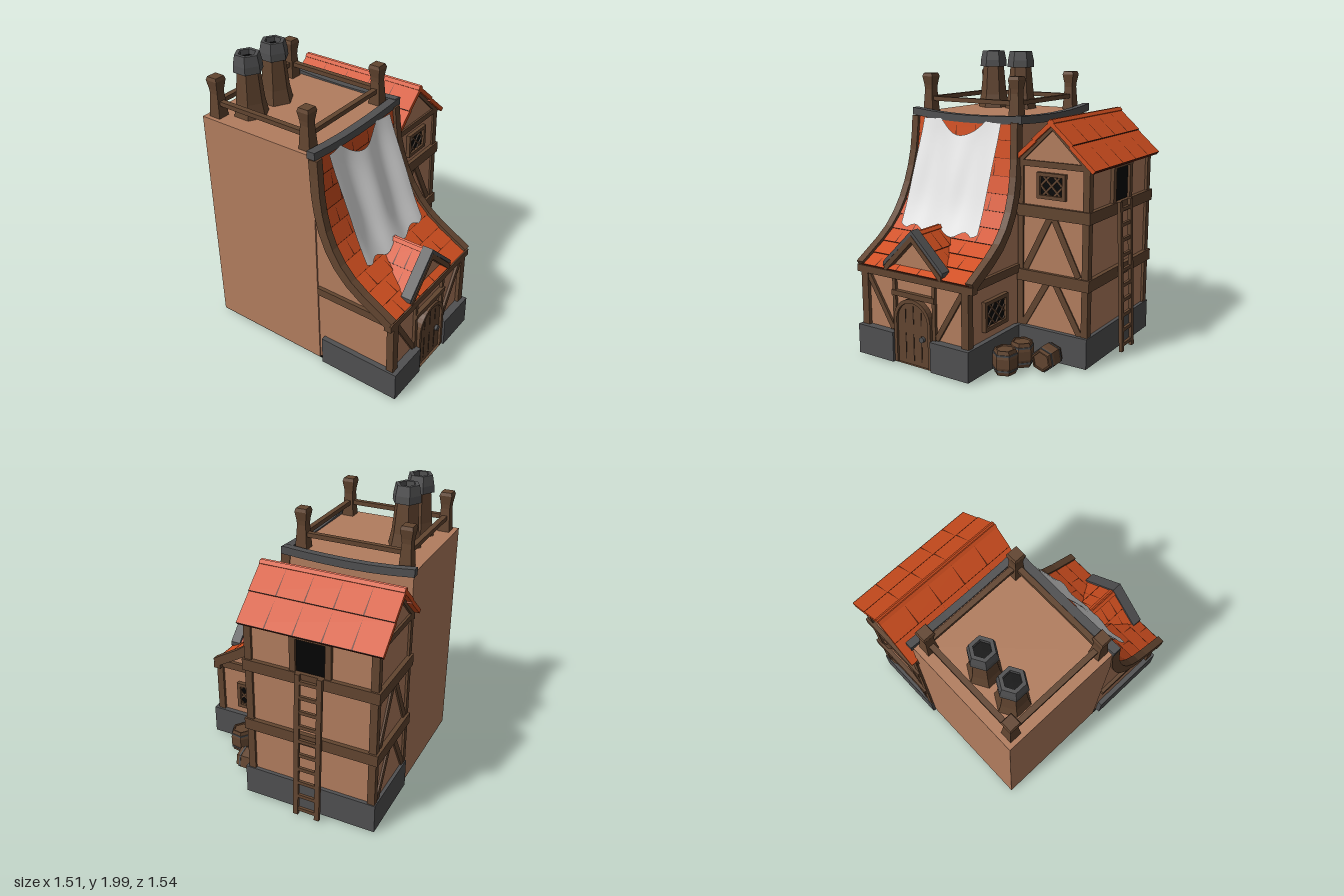
import * as THREE from 'three';

const mat = (name, color, side = THREE.FrontSide) => {
  const m = new THREE.MeshStandardMaterial({ color, side });
  m.name = name;
  return m;
};
const V = (x, y, z) => new THREE.Vector3(x, y, z);

export function createModel() {
  const plaster = mat('plaster', 0xb27d5e), wood = mat('timber', 0x624530), tile = mat('roofTile', 0xd04e1f);
  const seam = mat('tileSeam', 0x5e220c, THREE.DoubleSide), stone = mat('stone', 0x505051), black = mat('opening', 0x040404);
  const cloth = mat('cloth', 0xe2e2e2, THREE.DoubleSide), dark = mat('darkWood', 0x38281d);
  const root = new THREE.Group();
  root.name = 'house';
  const CX = -0.28;

  const add = (name, geo, m, parent = root) => {
    const mesh = new THREE.Mesh(geo, m);
    mesh.name = name;
    parent.add(mesh);
    return mesh;
  };
  const group = (name, parent = root) => {
    const g = new THREE.Group();
    g.name = name;
    parent.add(g);
    return g;
  };
  const flat = (g) => {
    const n = g.index ? g.toNonIndexed() : g;
    n.computeVertexNormals();
    return n;
  };
  const box = (name, m, x0, x1, y0, y1, z0, z1, parent) => {
    const mesh = add(name, new THREE.BoxGeometry(x1 - x0, y1 - y0, z1 - z0), m, parent);
    mesh.position.set((x0 + x1) / 2, (y0 + y1) / 2, (z0 + z1) / 2);
    return mesh;
  };
  // straight timber in an upright xy plane
  const beam = (name, m, ax, ay, bx, by, w, z0, z1, parent) => {
    const mesh = add(name, new THREE.BoxGeometry(w, Math.hypot(bx - ax, by - ay), z1 - z0), m, parent);
    mesh.position.set((ax + bx) / 2, (ay + by) / 2, (z0 + z1) / 2);
    mesh.rotation.z = -Math.atan2(bx - ax, by - ay);
    return mesh;
  };
  const prism = (name, m, pts, z0, z1, parent) => {
    const g = new THREE.ExtrudeGeometry(new THREE.Shape(pts.map((p) => new THREE.Vector2(...p))), { depth: z1 - z0, bevelEnabled: false });
    return add(name, g.translate(0, 0, z0), m, parent);
  };
  const chevron = (name, m, cx, top, half, bottom, t, z0, z1, parent) =>
    prism(name, m, [[cx - half, bottom], [cx - half, bottom - t], [cx, top - t], [cx + half, bottom - t], [cx + half, bottom], [cx, top]], z0, z1, parent);
  // solid through a row of four-cornered sections
  const loft = (name, m, secs) => {
    const pos = [], n = 4;
    const quad = (a, b, c, d) => [a, b, c, a, c, d].forEach((p) => pos.push(p.x, p.y, p.z));
    for (let i = 0; i + 1 < secs.length; i++)
      for (let j = 0; j < n; j++) quad(secs[i][j], secs[i][(j + 1) % n], secs[i + 1][(j + 1) % n], secs[i + 1][j]);
    const e = secs[secs.length - 1];
    quad(secs[0][3], secs[0][2], secs[0][1], secs[0][0]);
    quad(e[0], e[1], e[2], e[3]);
    let vol = 0;
    for (let i = 0; i < pos.length; i += 9)
      vol += V(...pos.slice(i, i + 3)).dot(V(...pos.slice(i + 3, i + 6)).cross(V(...pos.slice(i + 6, i + 9))));
    if (vol < 0)
      for (let i = 0; i < pos.length; i += 9)
        for (let k = 0; k < 3; k++) [pos[i + 3 + k], pos[i + 6 + k]] = [pos[i + 6 + k], pos[i + 3 + k]];
    const g = new THREE.BufferGeometry();
    g.setAttribute('position', new THREE.Float32BufferAttribute(pos, 3));
    g.computeVertexNormals();
    return add(name, g, m);
  };
  // overlapping tile rows on a slope: o is the middle of the lower edge, stagger shifts the gaps of that row
  const tiles = (name, o, xDir, up, width, len, rows, cols, stagger = 0) => {
    const g = group(name), u = up.clone().normalize(), h = len / rows;
    g.applyMatrix4(new THREE.Matrix4().makeBasis(xDir, u, xDir.clone().cross(u)).setPosition(o));
    for (let r = 0; r < rows; r++) {
      const row = group('tileRow', g);
      row.position.y = (r + 0.5) * h;
      row.rotation.x = -0.04;
      box('tiles', tile, -width / 2, width / 2, -h / 2, h / 2 + 0.008, -0.028, 0, row);
      box('rowEdge', seam, -width / 2, width / 2, -h / 2 - 0.002, -h / 2 + 0.001, -0.02, 0.001, row);
      for (let c = 1; c < cols; c++) {
        const x = -width / 2 + (c + stagger) * width / cols;
        const s = new THREE.Shape([new THREE.Vector2(x - 0.005, -h / 2), new THREE.Vector2(x + 0.005, -h / 2), new THREE.Vector2(x, h * 0.42)]);
        add('tileGap', new THREE.ShapeGeometry(s).translate(0, 0, 0.002), seam, row);
      }
    }
  };
  // framed lattice window facing +z, centred on its own origin
  const latticeWindow = (w, h, f) => {
    const g = group('latticeWindow'), a = w / 2 - f, b = h / 2 - f;
    box('pane', black, -a, a, -b, b, 0, 0.006, g);
    for (const s of [-1, 1]) {
      box('frameSide', wood, s * (w / 2 - f / 2) - f / 2, s * (w / 2 - f / 2) + f / 2, -h / 2, h / 2, -0.01, 0.025, g);
      box('frameRail', wood, -a, a, s * (h / 2 - f / 2) - f / 2, s * (h / 2 - f / 2) + f / 2, -0.01, 0.025, g);
      for (let k = -0.16; k < 0.17; k += 0.08) {
        const x0 = Math.max(-a, -b - k), x1 = Math.min(a, b - k);
        if (x1 - x0 > 0.01) beam('lattice', wood, s * x0, x0 + k, s * x1, x1 + k, 0.011, 0.004, 0.013, g);
      }
    }
    return g;
  };

  // main block and curved front wing under the roof
  box('mainBlock', plaster, -0.71, 0.15, 0.018, 1.59, -0.72, 0.15);
  box('blockUnderside', black, -0.709, 0.149, 0.014, 0.019, -0.719, 0.19);
  box('frontUnderside', black, -0.7, 0.14, 0.018, 0.025, 0.19, 0.715);
  const roofLine = new THREE.CatmullRomCurve3([[1.57, 0.165], [1.3, 0.19], [1.1, 0.245], [0.94, 0.33], [0.81, 0.45], [0.635, 0.735]].map(([y, z]) => V(0, y, z)));
  const line = roofLine.getSpacedPoints(10);
  const half = (y) => 0.475 - 0.04 * THREE.MathUtils.smoothstep(y, 0.8, 1.6);
  const walls = prism('frontWalls', plaster, [[0.1, 0.022], [0.715, 0.022], [0.715, 0.61], ...line.slice().reverse().slice(1).map((p) => [p.z - 0.02, p.y - 0.025]), [0.1, 1.54]], -0.14, 0.7);
  walls.rotation.y = -Math.PI / 2;
  for (let i = 0; i < 10; i++) {
    const a = line[i], b = line[i + 1], up = a.clone().sub(b);
    tiles('mainRoof', V(CX, b.y, b.z), V(1, 0, 0), up, 2 * half((a.y + b.y) / 2) - 0.07, up.length(), 1, 5, i % 2 ? -0.3 : 0.1);
  }
  for (const s of [-1, 1]) {
    loft('bargeBoard', wood, line.map((p, i) => {
      const t = roofLine.getTangentAt(i / 10), o = half(p.y);
      const at = (d, n) => V(CX + s * (o - d), p.y + t.z * n, p.z - t.y * n);
      return [at(0, 0.02), at(0.052, 0.02), at(0.052, -0.045), at(0, -0.045)];
    }));
  }

  // stone footings and front timbering
  for (const s of [-1, 1]) {
    const mx = (a, b) => [CX + s * a, CX + s * b].sort((p, q) => p - q);
    box('footing', stone, ...mx(0.155, 0.455), 0.016, 0.22, 0.19, 0.77);
    box('cornerPost', wood, ...mx(0.385, 0.44), 0.22, 0.6, 0.69, 0.74);
    box('doorPost', wood, ...mx(0.15, 0.175), 0.22, 0.59, 0.71, 0.735);
    box('sideBeam', wood, ...mx(0.41, 0.445), 0.58, 0.635, 0.16, 0.73);
    beam('frontBrace', wood, CX + s * 0.385, 0.57, CX + s * 0.18, 0.23, 0.035, 0.71, 0.732);
  }
  box('eaveBeam', wood, -0.755, 0.195, 0.58, 0.628, 0.69, 0.742);
  box('lintel', wood, -0.455, -0.105, 0.47, 0.505, 0.71, 0.745);

  // arched door
  const arch = (w, top) => {
    const s = new THREE.Shape();
    s.moveTo(CX - w, 0.02).lineTo(CX + w, 0.02).lineTo(CX + w, top - w);
    s.absarc(CX, top - w, w, 0, Math.PI).lineTo(CX - w, 0.02);
    return s;
  };
  const frame = arch(0.15, 0.47);
  frame.holes.push(arch(0.128, 0.445));
  add('doorFrame', new THREE.ExtrudeGeometry(frame, { depth: 0.05, bevelEnabled: false, curveSegments: 8 }).translate(0, 0, 0.707), wood);
  add('door', new THREE.ExtrudeGeometry(arch(0.128, 0.445), { depth: 0.03, bevelEnabled: false, curveSegments: 8 }).translate(0, 0, 0.71), wood);
  [-0.345, -0.28, -0.215].forEach((x, i) => {
    box('plankGap', dark, x - 0.003, x + 0.003, 0.3, 0.42 - (i % 2 ? 0 : 0.03), 0.738, 0.743);
    box('plankGap', dark, x - 0.003, x + 0.003, 0.05, 0.23, 0.738, 0.743);
  });
  const knob = add('doorKnob', new THREE.CylinderGeometry(0.02, 0.02, 0.02, 6), stone);
  knob.rotation.x = Math.PI / 2;
  knob.position.set(-0.2, 0.215, 0.752);
  const sideWindow = latticeWindow(0.26, 0.2, 0.026);
  sideWindow.rotation.y = Math.PI / 2;
  sideWindow.position.set(0.145, 0.38, 0.44);

  // dormer over the door
  prism('dormerGable', plaster, [[-0.5, 0.64], [-0.07, 0.64], [-0.285, 0.875]], 0.45, 0.69);
  chevron('dormerTrim', stone, -0.285, 0.92, 0.245, 0.68, 0.03, 0.665, 0.737);
  chevron('dormerRafter', wood, -0.285, 0.89, 0.235, 0.655, 0.045, 0.67, 0.74);
  for (const s of [-1, 1]) {
    const up = V(-s * 0.23, 0.235, 0);
    tiles('dormerRoof', V(-0.285 + s * 0.23, 0.667, 0.545), V(0, 0, -s), up, 0.25, up.length(), 2, 3, 0.2);
  }

  // cloth hanging over the roof
  const drape = new THREE.CatmullRomCurve3([[1.565, 0.178], [1.47, 0.205], [1.2, 0.305], [1.0, 0.385], [0.83, 0.472]].map(([y, z]) => V(0, y, z)));
  const sheet = new THREE.PlaneGeometry(1, 1, 24, 12), sp = sheet.attributes.position;
  for (let i = 0; i < sp.count; i++) {
    const u = sp.getX(i), v = 0.5 - sp.getY(i), x = -0.285 + u * 0.635;
    const t0 = 0.13 * Math.max(0, 1 - ((u * 0.635) / 0.18) ** 2), t1 = 0.965 - 0.03 * Math.cos(u * 19) - 0.06 * Math.max(0, Math.abs(u) - 0.42) / 0.08;
    const p = drape.getPointAt(THREE.MathUtils.lerp(t0, t1, v));
    sp.setXYZ(i, x, p.y, p.z + 0.004 + 0.018 * Math.sin(Math.PI * (0.15 + 0.7 * v)) * Math.cos(u * 12.6));
  }
  sheet.computeVertexNormals();
  add('hangingCloth', sheet, cloth);

  // sagging parapet trim along front and side of the flat top
  const sag = (t) => 1.548 + 0.028 * (2 * t - 1) ** 2 * (t < 0.5 ? 1 : 0.6);
  const steps = [0, 0.17, 0.33, 0.5, 0.67, 0.83, 1];
  loft('frontParapet', stone, steps.map((t) => {
    const x = -0.72 + 0.9 * t, y = sag(t);
    return [V(x, y, 0.115), V(x, y, 0.172), V(x, y + 0.05, 0.172), V(x, y + 0.05, 0.115)];
  }));
  loft('sideParapet', stone, steps.map((t) => {
    const z = -0.735 + 0.9 * t, y = sag(t);
    return [V(0.13, y, z), V(0.18, y, z), V(0.18, y + 0.052, z), V(0.13, y + 0.052, z)];
  }));

  // roof terrace railing
  const lathe = (pts, n) => flat(new THREE.LatheGeometry(pts.map((p) => new THREE.Vector2(...p)), n));
  for (const x of [-0.64, 0.073]) {
    for (const z of [-0.645, 0.065]) {
      const post = add('railingPost', lathe([[0.058, 0], [0.043, 0.16], [0.046, 0.19], [0.06, 0.25], [0.05, 0.272], [0, 0.272]], 4), wood);
      post.rotation.y = Math.PI / 4;
      post.position.set(x, 1.588, z);
    }
    box('sideRail', wood, x - 0.018, x + 0.018, 1.67, 1.7, -0.645, 0.065);
  }
  for (const z of [-0.645, 0.065]) box('crossRail', wood, -0.64, 0.073, 1.67, 1.7, z - 0.018, z + 0.018);

  // chimneys
  for (const x of [-0.5, -0.26]) {
    const g = group('chimney');
    g.position.set(x, 1.585, -0.5);
    add('chimneyStack', lathe([[0.115, 0], [0.095, 0.1], [0.075, 0.31]], 6), wood, g);
    add('chimneyCap', lathe([[0.06, 0.3], [0.097, 0.302], [0.094, 0.35], [0.08, 0.415], [0.055, 0.415], [0.055, 0.36]], 6), stone, g);
    add('chimneyHole', new THREE.CylinderGeometry(0.057, 0.057, 0.01, 6), black, g).position.y = 0.375;
  }

  // side wing
  const W = 0.405;
  prism('wingWalls', plaster, [[0.15, 0.1], [0.66, 0.1], [0.66, 1.32], [W, 1.565], [0.15, 1.32]], -0.72, 0.157);
  box('wingFooting', stone, 0.15, 0.685, 0.016, 0.22, -0.742, 0.19);
  for (const y of [0.53, 0.97]) box('wingBeltBeam', wood, 0.152, 0.69, y, y + 0.078, -0.75, 0.182);
  for (const [z0, z1] of [[0.12, 0.17], [-0.735, -0.685]]) {
    box('wingCornerPost', wood, 0.632, 0.678, 0.22, 1.33, z0, z1);
    box('wingInnerPost', wood, 0.15, 0.192, 0.22, 1.33, z0, z1);
    box('gableBeam', wood, 0.152, 0.67, 1.3, 1.34, z0, z1);
    chevron('gableRafter', wood, W, 1.585, 0.275, 1.325, 0.045, z0, z1);
    for (const s of [-1, 1]) {
      beam('lowerBrace', wood, W + s * 0.03, 0.54, W + s * 0.215, 0.22, 0.042, z0 + 0.003, z1 - 0.003);
      beam('upperBrace', wood, W + s * 0.012, 0.98, W + s * 0.2, 0.61, 0.042, z0 + 0.003, z1 - 0.003);
    }
  }
  for (const [s, run] of [[-1, 0.272], [1, 0.315]]) {
    const up = V(-s * run, run * 0.946, 0);
    tiles('wingRoof', V(W + s * run, 1.61 - run * 0.946, -0.29), V(0, 0, -s), up, 0.96, up.length(), 2, 5);
  }
  latticeWindow(0.21, 0.17, 0.024).position.set(W, 1.185, 0.158);
  box('loftOpening', black, 0.655, 0.667, 1.05, 1.28, -0.395, -0.185);
  for (const z of [-0.17, -0.41]) box('loftFrame', wood, 0.65, 0.685, 1.05, 1.29, z - 0.02, z + 0.02);
  box('loftLintel', wood, 0.65, 0.688, 1.275, 1.3, -0.43, -0.15);

  // ladder
  const ladder = group('ladder');
  for (const z of [-0.215, -0.367]) beam('ladderRail', wood, 0.743, 0.016, 0.7, 1.05, 0.024, z - 0.017, z + 0.017, ladder);
  for (let i = 0; i < 10; i++) {
    const x = 0.741 - i * 0.0043, y = 0.06 + i * 0.104;
    box('rung', wood, x - 0.01, x + 0.01, y - 0.012, y + 0.012, -0.365, -0.215, ladder);
  }

  // barrels
  [[0.28, 0.09, 0.32, 0, 0.3], [0.26, 0.09, 0.485, 0, 0.9], [0.457, 0.088, 0.293, Math.PI / 2, 0.2]].forEach(([x, y, z, tip, turn]) => {
    const g = group('barrel'), body = group('barrelBody', g);
    g.position.set(x, y, z);
    g.rotation.x = tip;
    body.rotation.y = turn;
    add('staves', lathe([[0, -0.074], [0.058, -0.074], [0.06, -0.083], [0.07, -0.083], [0.084, -0.03], [0.084, 0.03], [0.07, 0.083], [0.06, 0.083], [0.058, 0.074], [0, 0.074]], 6), wood, body);
    for (const s of [-1, 1]) add('hoop', flat(new THREE.CylinderGeometry(0.083, 0.083, 0.012, 6, 1)), stone, body).position.y = s * 0.052;
  });
  return root;
}
